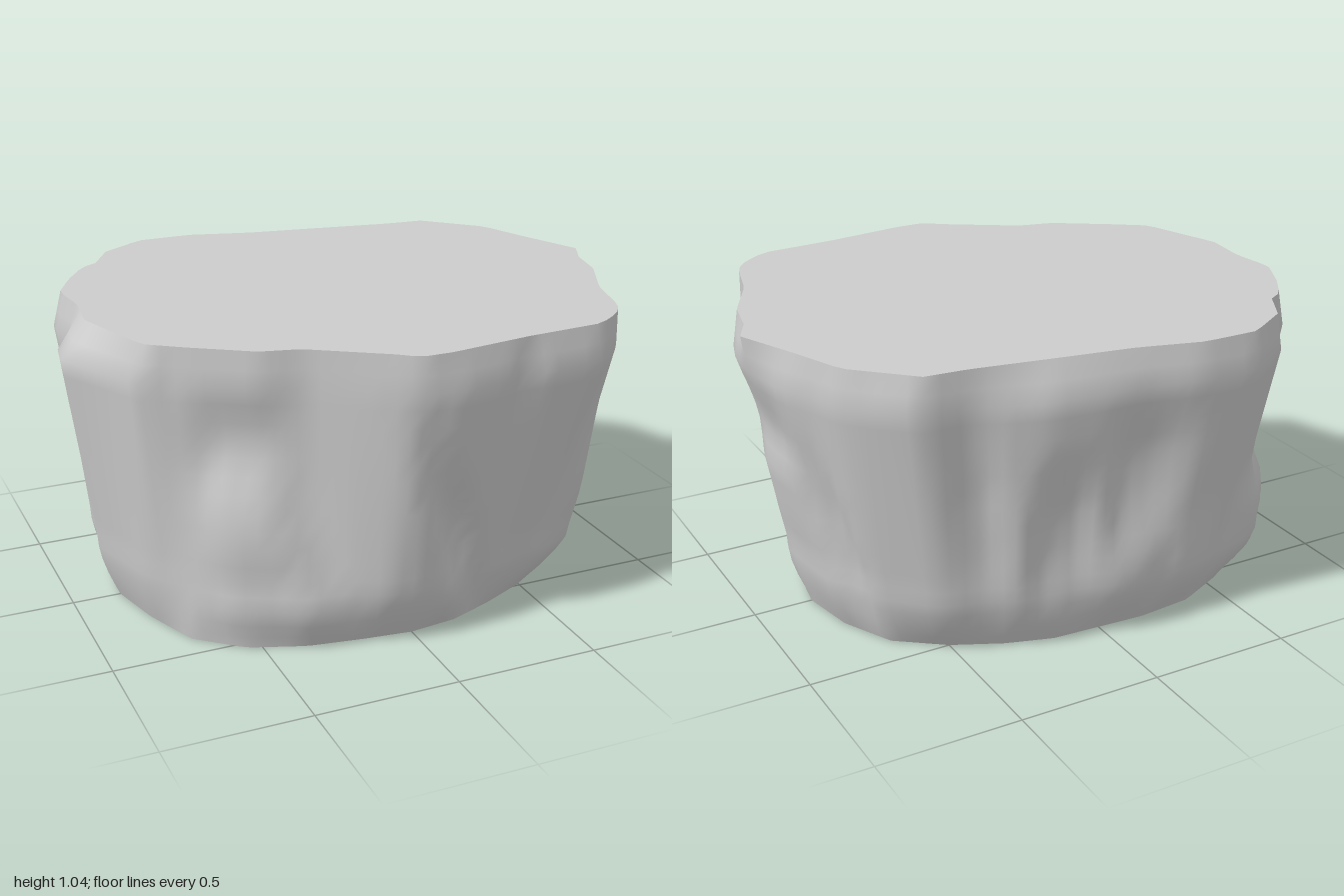
import * as THREE from 'three';

const HEIGHT = 1.045, WAIST_Y = 0.25, RIM_Y = 0.92, COLS = 120;
const LEVELS = [0, 0.04, 0.09, 0.15, 0.2, WAIST_Y, 0.31, 0.37, 0.43, 0.49, 0.55, 0.61, 0.67, 0.73, 0.79, 0.86, RIM_Y, 0.98, HEIGHT];
const { lerp, clamp, degToRad, radToDeg } = THREE.MathUtils;

// Plan outlines as [x, z] corners, turning from +x towards +z
const FOOT = polar([
  [.79, 0], [.74, .2], [.62, .36], [.5, .49], [.33, .57], [.17, .63], [0, .65], [-.17, .63], [-.36, .6], [-.55, .53],
  [-.7, .4], [-.78, .2], [-.83, 0], [-.8, -.2], [-.7, -.4], [-.56, -.54], [-.37, -.63], [-.17, -.65], [.17, -.63],
  [.33, -.58], [.5, -.5], [.66, -.38], [.75, -.2],
]);
const WAIST = polar([
  [.84, .05], [.78, .26], [.72, .4], [.62, .56], [.42, .63], [.2, .69], [0, .74], [-.12, .73], [-.24, .67], [-.4, .55],
  [-.55, .48], [-.7, .42], [-.81, .28], [-.9, 0], [-.87, -.22], [-.75, -.42], [-.62, -.58], [-.42, -.7], [-.2, -.73],
  [0, -.71], [.2, -.7], [.4, -.65], [.58, -.57], [.73, -.42], [.81, -.24],
]);
const RIM = polar([
  [.97, .1], [.94, .2], [.87, .32], [.81, .46], [.77, .6], [.74, .65], [.62, .76], [.38, .78], [.33, .76], [.27, .79],
  [.09, .82], [-.06, .81], [-.11, .77], [-.36, .6], [-.5, .57], [-.7, .44], [-.78, .38], [-.83, .37], [-1, .05],
  [-.98, -.06], [-.92, -.13], [-.94, -.29], [-.87, -.41], [-.78, -.55], [-.72, -.56], [-.65, -.71], [-.48, -.82],
  [-.25, -.82], [-.1, -.78], [.26, -.75], [.5, -.66], [.66, -.65], [.76, -.56], [.85, -.46], [.89, -.34], [.95, -.23],
  [.98, -.05],
]);
const TOP = polar([
  [.95, .05], [.92, .2], [.82, .4], [.77, .6], [.72, .67], [.62, .74], [.34, .76], [.05, .8], [-.06, .8], [-.12, .75],
  [-.37, .59], [-.5, .56], [-.7, .43], [-.81, .35], [-.91, .05], [-.89, -.12], [-.91, -.28], [-.84, -.42], [-.76, -.54],
  [-.71, -.56], [-.63, -.7], [-.47, -.8], [-.27, -.8], [-.05, -.74], [.2, -.7], [.5, -.65], [.64, -.64], [.83, -.46],
  [.9, -.28], [1, -.05],
]);

// Boulders (+) and clefts (-): [foot angle, top angle, foot half width, top half width, low y, peak y, high y, depth]
const FOLDS = [
  [127, 143, 24, 2, -0.3, 0.28, 0.74, 0.075],
  [138, 138, 14, 14, 0.5, 0.72, 0.92, -0.03],
  [76, 84, 9, 4, -0.2, 0.1, 0.35, 0.03],
  [69, 100, 8, 5, -0.3, 0.3, 1, -0.045],
  [38, 26, 7, 4, -0.1, 0.45, 0.95, -0.05],
  [46, 42, 8, 4, -0.1, 0.3, 0.72, 0.03],
  [18, 15, 8, 5, -0.2, 0.35, 0.85, -0.04],
  [-5, 0, 20, 5, -0.3, 0.3, 0.64, 0.01],
  [0, 0, 14, 14, 0.56, 0.68, 0.9, -0.03],
  [-27, -10, 7, 5, -0.1, 0.4, 0.8, -0.03],
  [-58, -52, 7, 6, -0.1, 0.5, 0.95, -0.03],
  [-76, -76, 12, 8, 0.1, 0.42, 0.75, -0.045],
  [-95, -95, 10, 6, -0.1, 0.2, 0.42, 0.02],
  [-98, -98, 10, 14, 0.3, 0.6, 0.9, -0.045],
  [-114, -114, 10, 5, -0.1, 0.2, 0.42, 0.02],
  [-140, -140, 19, 8, -0.1, 0.27, 0.5, 0.06],
  [-144, -146, 12, 8, 0.38, 0.56, 0.85, -0.04],
  [-173, -171, 6, 5, -0.1, 0.5, 0.92, -0.04],
];

function polar(points) {
  return points.map(([x, z]) => ({ deg: (radToDeg(Math.atan2(z, x)) + 360) % 360, r: Math.hypot(x, z) }))
    .sort((a, b) => a.deg - b.deg);
}

// Distance from the axis to the straight side lying in a direction
function reach(outline, deg) {
  const next = Math.max(0, outline.findIndex((p) => p.deg > deg));
  const a = outline.at(next - 1), b = outline[next];
  const before = degToRad((deg - a.deg + 360) % 360), after = degToRad((b.deg - deg + 360) % 360);
  return Math.sin(before + after) / (Math.sin(after) / a.r + Math.sin(before) / b.r);
}

function radiusAt(deg, y) {
  let r;
  if (y < WAIST_Y) r = lerp(reach(FOOT, deg), reach(WAIST, deg), Math.sin(y / WAIST_Y * Math.PI / 2));
  else if (y < RIM_Y) r = lerp(reach(WAIST, deg), reach(RIM, deg), (y - WAIST_Y) / (RIM_Y - WAIST_Y));
  else r = lerp(reach(RIM, deg), reach(TOP, deg), (y - RIM_Y) / (HEIGHT - RIM_Y));
  for (const [a0, a1, w0, w1, low, peak, high, depth] of FOLDS) {
    const t = y / HEIGHT;
    const off = Math.abs((deg - lerp(a0, a1, t) + 900) % 360 - 180);
    const across = clamp(1.7 * (1 - off / lerp(w0, w1, t)), 0, 1);
    const along = clamp(1.3 * (y < peak ? (y - low) / (peak - low) : (high - y) / (high - peak)), 0, 1);
    r += depth * across * along * Math.min(1, y / 0.12);
  }
  return r;
}

function bufferGeometry(positions, index) {
  const g = new THREE.BufferGeometry();
  g.setAttribute('position', new THREE.Float32BufferAttribute(positions, 3));
  g.setIndex(index);
  g.computeVertexNormals();
  return g;
}

function ringPoints(y) {
  const pts = [];
  for (let i = 0; i < COLS; i++) {
    const deg = i * 360 / COLS, r = radiusAt(deg, y);
    pts.push(r * Math.cos(degToRad(deg)), y, r * Math.sin(degToRad(deg)));
  }
  return pts;
}

// Craggy wall lofted through the levels
function wallGeometry() {
  const index = [];
  for (let j = 0; j < LEVELS.length - 1; j++) {
    for (let i = 0; i < COLS; i++) {
      const a = j * COLS + i, b = j * COLS + (i + 1) % COLS, c = a + COLS, d = b + COLS;
      index.push(a, c, b, b, c, d);
    }
  }
  return bufferGeometry(LEVELS.flatMap(ringPoints), index);
}

// Flat fan closing the wall
function capGeometry(y, facesUp) {
  const index = [];
  for (let i = 0; i < COLS; i++) {
    const n = (i + 1) % COLS;
    index.push(COLS, facesUp ? n : i, facesUp ? i : n);
  }
  return bufferGeometry([...ringPoints(y), 0, y, 0], index);
}

export function createModel() {
  const group = new THREE.Group();
  group.name = 'rock';
  const material = new THREE.MeshStandardMaterial({ color: 0xcccccc });
  const parts = {
    rockWall: wallGeometry(),
    flatTop: capGeometry(HEIGHT, true),
    flatBase: capGeometry(0, false),
  };
  for (const [name, geometry] of Object.entries(parts)) {
    const mesh = new THREE.Mesh(geometry, material);
    mesh.name = name;
    group.add(mesh);
  }
  return group;
}
